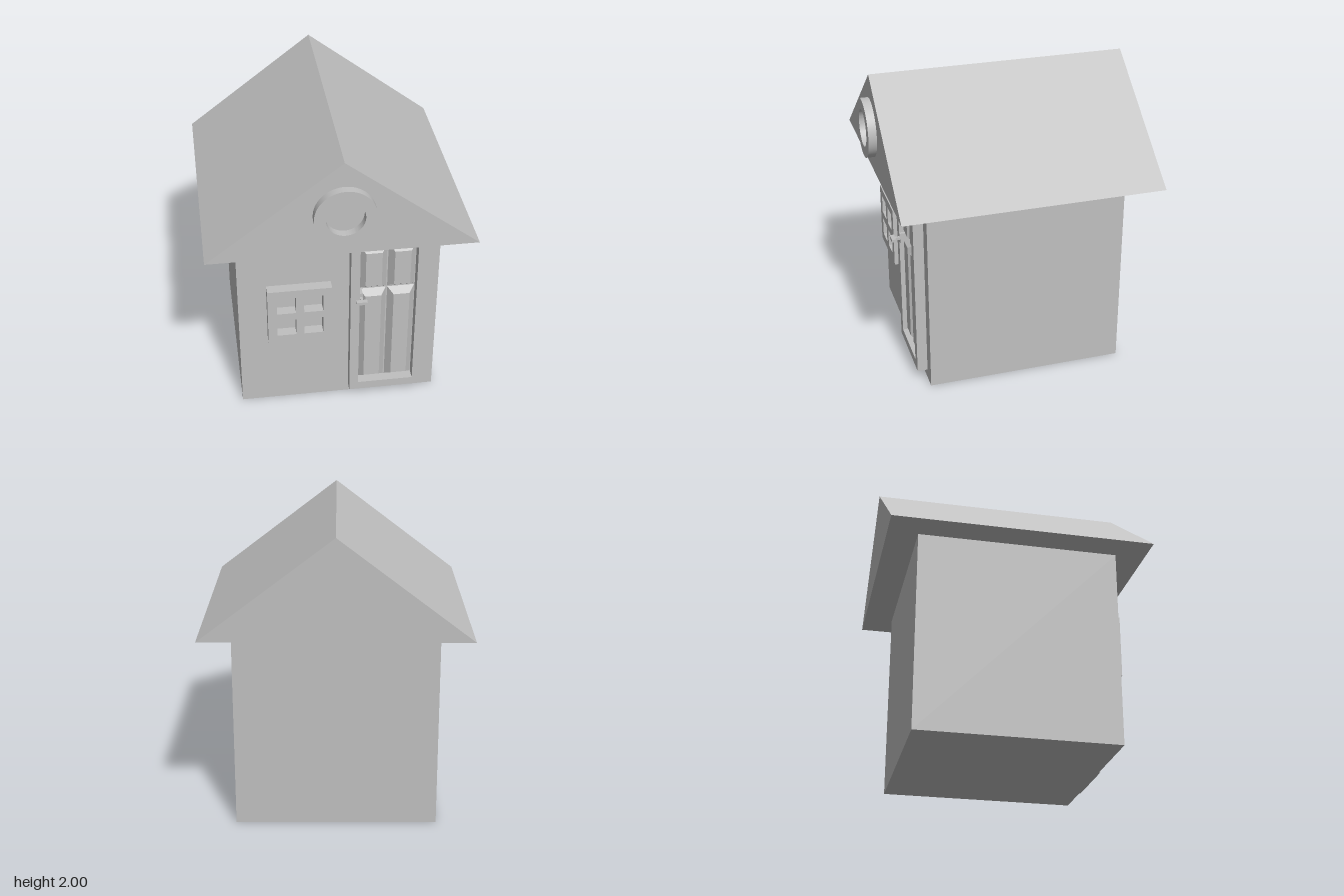
import * as THREE from 'three';
import { toCreasedNormals } from 'three/addons/utils/BufferGeometryUtils.js';

export function createModel() {
  const house = new THREE.Group();
  house.name = 'house';
  const grey = new THREE.MeshStandardMaterial({ color: 0xc0c0c0 });
  grey.name = 'plain grey';

  const add = (name, geometry, parent = house) => {
    const mesh = new THREE.Mesh(geometry, grey);
    mesh.name = name;
    parent.add(mesh);
    return mesh;
  };
  const group = (name) => {
    const g = new THREE.Group();
    g.name = name;
    house.add(g);
    return g;
  };

  // Box given by its extents
  const block = (name, x0, x1, y0, y1, z0, z1, parent) =>
    add(name, new THREE.BoxGeometry(x1 - x0, y1 - y0, z1 - z0), parent)
      .position.set((x0 + x1) / 2, (y0 + y1) / 2, (z0 + z1) / 2);

  const rect = (x0, x1, y0, y1, Type = THREE.Shape) => new Type([
    new THREE.Vector2(x0, y0), new THREE.Vector2(x1, y0),
    new THREE.Vector2(x1, y1), new THREE.Vector2(x0, y1),
  ]);
  const slab = (shape, z0, z1) => new THREE.ExtrudeGeometry(shape, {
    depth: z1 - z0, bevelEnabled: false, curveSegments: 48,
  }).translate(0, 0, z0);

  // Raised panel: a box whose front face is drawn in to leave sloping sides
  const raisedPanel = (name, x0, x1, y0, y1, z0, z1, inset, parent) => {
    const w = x1 - x0, h = y1 - y0;
    const geo = new THREE.BoxGeometry(w, h, z1 - z0);
    const p = geo.attributes.position;
    for (let i = 0; i < p.count; i++) {
      if (p.getZ(i) > 0) {
        p.setX(i, p.getX(i) * (1 - 2 * inset / w));
        p.setY(i, p.getY(i) * (1 - 2 * inset / h));
      }
    }
    const flat = geo.toNonIndexed();
    flat.computeVertexNormals();
    add(name, flat, parent)
      .position.set((x0 + x1) / 2, (y0 + y1) / 2, (z0 + z1) / 2);
  };

  // Walls and gabled roof
  block('walls', -0.665, 0.665, 0, 1.34, -0.69, 0.64);
  const gable = new THREE.Shape([
    new THREE.Vector2(-0.865, 1.34), new THREE.Vector2(0.865, 1.34), new THREE.Vector2(0, 2),
  ]);
  add('roof', slab(gable, -0.89, 0.84));

  // Round attic window frame
  const ring = new THREE.Shape().absarc(0.003, 1.637, 0.196, 0, Math.PI * 2);
  ring.holes.push(new THREE.Path().absarc(0.003, 1.637, 0.123, 0, Math.PI * 2, true));
  add('roundWindowFrame', toCreasedNormals(slab(ring, 0.84, 0.895), 0.6));

  // Four-pane window frame
  const windowShape = rect(-0.477, -0.053, 0.55, 0.975);
  for (const x of [-0.416, -0.237]) {
    for (const y of [0.61, 0.79]) {
      windowShape.holes.push(rect(x, x + 0.126, y, y + 0.126, THREE.Path));
    }
  }
  add('windowFrame', slab(windowShape, 0.64, 0.711));

  // Door frame with four raised panels
  const door = group('door');
  const frame = rect(0.07, 0.568, 0.064, 1.302);
  frame.holes.push(rect(0.13, 0.508, 0.124, 1.242, THREE.Path));
  add('doorFrame', slab(frame, 0.64, 0.708), door);
  for (const x of [0.134, 0.323]) {
    for (const [y0, y1] of [[0.128, 0.892], [0.902, 1.24]]) {
      raisedPanel('doorPanel', x, x + 0.181, y0, y1, 0.64, 0.685, 0.037, door);
    }
  }

  // Door handle
  const handle = group('doorHandle');
  block('handlePlate', 0.128, 0.15, 0.826, 0.9, 0.64, 0.706, handle);
  block('handleStem', 0.13, 0.148, 0.854, 0.873, 0.7, 0.74, handle);
  block('handleLever', 0.1, 0.173, 0.853, 0.874, 0.738, 0.767, handle);

  return house;
}
